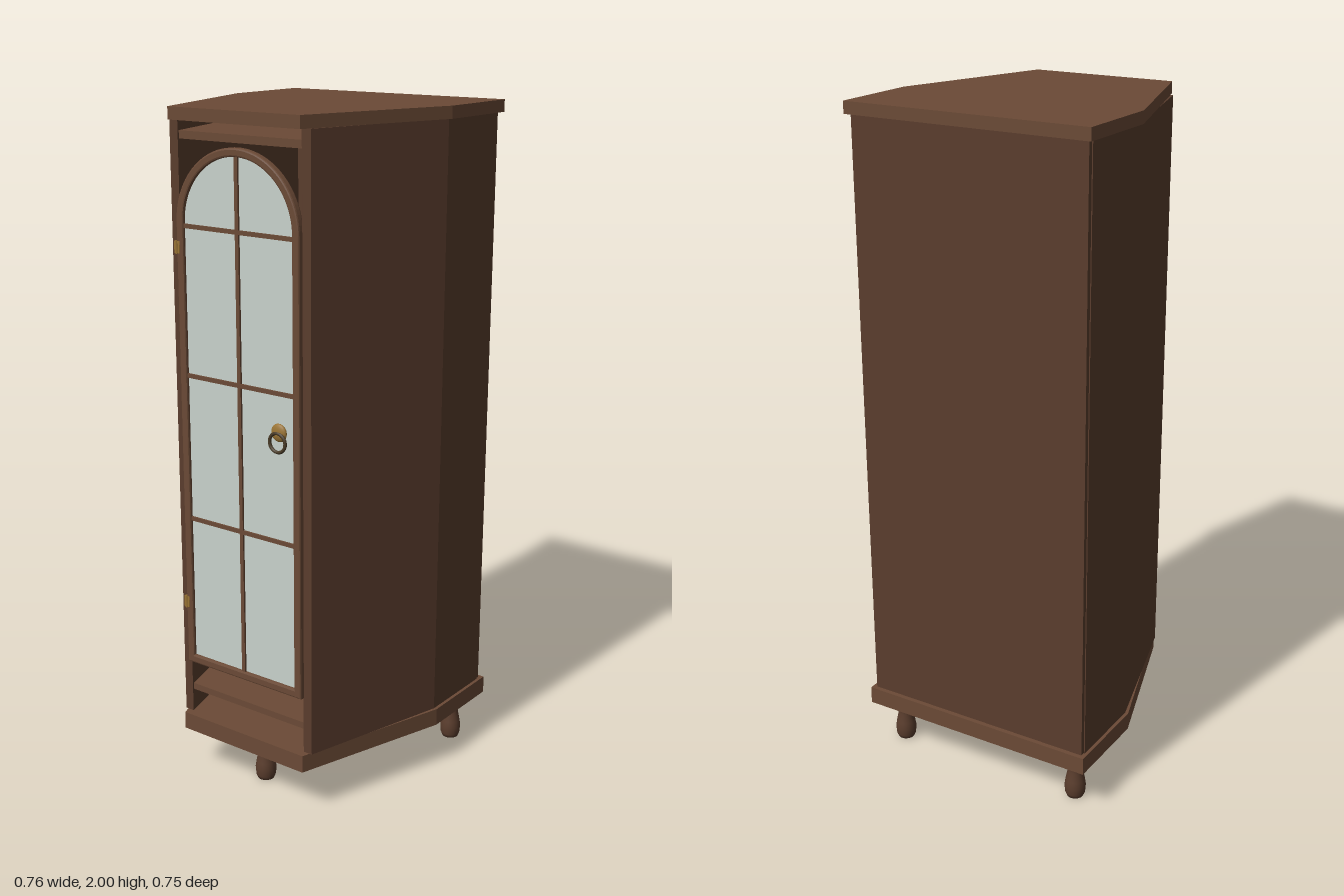
import * as THREE from 'three';

const mat = (color, extra = {}) => new THREE.MeshStandardMaterial({ color, ...extra });
const wood = mat(0x6b4a36), darkWood = mat(0x5a3d2d), glassMat = mat(0xc8d2cc, { side: THREE.DoubleSide });
const brass = mat(0x9a7434), bronze = mat(0x4a3c28);

export function createModel() {
  const cabinet = new THREE.Group();
  cabinet.name = 'cornerCabinet';

  const add = (name, geometry, material, x = 0, y = 0, z = 0, parent = cabinet) => {
    const mesh = new THREE.Mesh(geometry, material);
    mesh.name = name;
    mesh.position.set(x, y, z);
    parent.add(mesh);
    return mesh;
  };
  const box = (name, w, h, d, material, x, y, z, parent) =>
    add(name, new THREE.BoxGeometry(w, h, d), material, x, y, z, parent);

  // Raise a floor plan given as [x, z] points into a solid from y0 to y1
  const plan = (name, points, y0, y1, material) => {
    const shape = new THREE.Shape(points.map(([x, z]) => new THREE.Vector2(x, -z)));
    const geometry = new THREE.ExtrudeGeometry(shape, { depth: y1 - y0, bevelEnabled: false });
    geometry.rotateX(-Math.PI / 2);
    return add(name, geometry, material, 0, y0, 0);
  };
  // Half outline on +x, mirrored into a closed outline
  const mirrored = half => [...half, ...half.map(([x, z]) => [-x, z]).reverse()];

  // Base and top boards
  const board = mirrored([[0.378, -0.378], [0.378, -0.1], [0.225, 0.376]]);
  plan('baseBoard', board, 0.14, 0.193, wood);
  plan('topBoard', board, 1.965, 2, wood);

  // Side walls: straight rear part, then angled in to the front
  for (const s of [1, -1]) {
    const wall = [[0.368, -0.35], [0.368, -0.1], [0.241, 0.352], [0.212, 0.352], [0.343, -0.1], [0.343, -0.35]];
    plan(s > 0 ? 'leftWall' : 'rightWall', wall.map(([x, z]) => [s * x, z]), 0.193, 1.965, darkWood);
  }
  box('backPanel', 0.73, 1.772, 0.014, darkWood, 0, 1.079, -0.357);

  // Inner shelves
  const shelf = mirrored([[0.345, -0.35], [0.345, -0.1], [0.216, 0.345]]);
  plan('lowerShelf', shelf, 0.262, 0.282, wood);
  plan('upperShelf', shelf, 1.913, 1.935, wood);

  // Door with an arched top
  const door = new THREE.Group();
  door.name = 'door';
  cabinet.add(door);
  const springY = 1.69;
  const arch = (PathType, r, bottom) => {
    const p = new PathType();
    p.moveTo(-r, bottom);
    p.lineTo(r, bottom);
    p.lineTo(r, springY);
    p.absarc(0, springY, r, 0, Math.PI, false);
    p.lineTo(-r, bottom);
    return p;
  };
  const frame = arch(THREE.Shape, 0.208, 0.37);
  frame.holes.push(arch(THREE.Path, 0.194, 0.386));
  add('doorFrame', new THREE.ExtrudeGeometry(frame, {
    depth: 0.014, bevelThickness: 0.005, bevelSize: 0.005, bevelSegments: 2, curveSegments: 24,
  }), wood, 0, 0, 0.349, door);
  add('glass', new THREE.ExtrudeGeometry(arch(THREE.Shape, 0.194, 0.386), {
    depth: 0.004, bevelEnabled: false, curveSegments: 24,
  }), glassMat, 0, 0, 0.354, door);
  box('verticalBar', 0.012, 1.49, 0.014, wood, 0, 1.135, 0.357, door);
  for (const y of [0.826, 1.256, 1.68]) box('crossBar', 0.38, 0.012, 0.014, wood, 0, y, 0.357, door);

  // Hinges
  for (const y of [0.56, 1.62]) {
    box('hinge', 0.02, 0.034, 0.006, brass, -0.211, y, 0.366, door);
    add('hingePin', new THREE.CylinderGeometry(0.004, 0.004, 0.038, 10), brass, -0.213, y, 0.368, door);
  }

  // Ring handle hanging from a round rosette
  const rosette = add('handleRosette', new THREE.SphereGeometry(0.026, 20, 12), brass, 0.14, 1.147, 0.364, door);
  rosette.scale.z = 0.38;
  add('handleRing', new THREE.TorusGeometry(0.027, 0.005, 8, 28), bronze, 0.14, 1.12, 0.372, door);

  // Three turned legs
  const profile = [[0, 0], [0.025, 0], [0.03, 0.012], [0.032, 0.035], [0.029, 0.055],
    [0.023, 0.085], [0.023, 0.108], [0.031, 0.125], [0.033, 0.142]].map(([r, y]) => new THREE.Vector2(r, y));
  const legGeometry = new THREE.LatheGeometry(profile, 20);
  for (const [name, x, z] of [['frontLeg', 0, 0.265], ['backLeftLeg', 0.308, -0.297], ['backRightLeg', -0.308, -0.297]])
    add(name, legGeometry, darkWood, x, 0, z);

  return cabinet;
}
